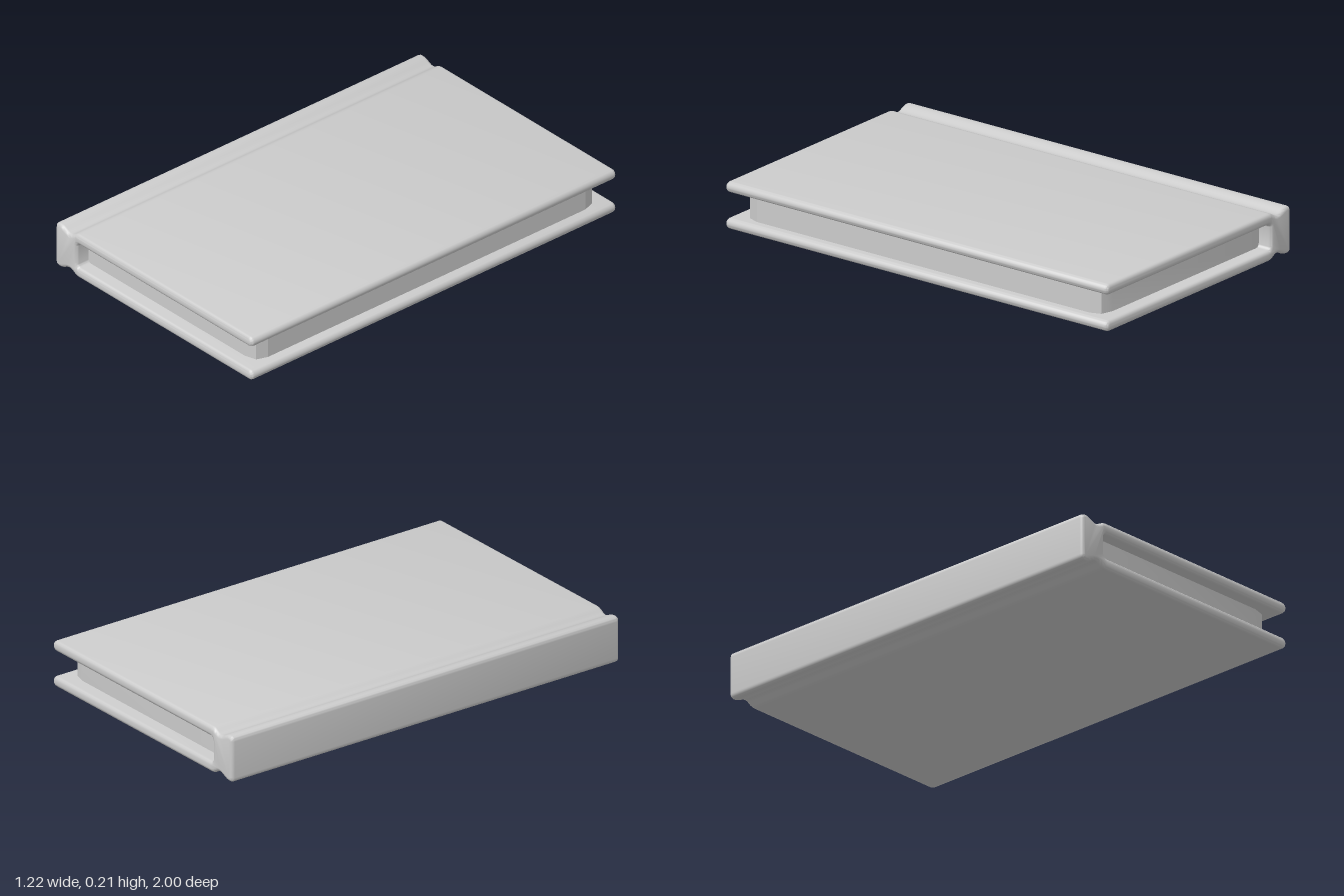
import * as THREE from 'three';
import { toCreasedNormals } from 'three/addons/utils/BufferGeometryUtils.js';

const HEIGHT = 0.207;
const BEVEL = 0.016;

// Wraparound cover: one cross-section with thick spine, hinge grooves and two boards
function coverShape() {
  const mid = HEIGHT / 2;
  // Lower half of the profile, from the spine's middle round to the inside of the spine
  const lower = (add) => {
    const s = new THREE.Path();
    s.moveTo(-0.613, mid);
    s.lineTo(-0.613, 0.022);
    s.quadraticCurveTo(-0.613, 0, -0.59, 0);
    s.bezierCurveTo(-0.56, 0, -0.55, 0.02, -0.525, 0.02);
    s.bezierCurveTo(-0.505, 0.02, -0.495, 0, -0.47, 0);
    s.lineTo(0.587, 0);
    s.absarc(0.587, 0.0235, 0.0235, -Math.PI / 2, Math.PI / 2, false);
    s.lineTo(-0.46, 0.047);
    s.quadraticCurveTo(-0.48, 0.047, -0.48, 0.067);
    return s.getPoints(6);
  };
  const half = lower();
  const mirrored = half.slice(1).reverse().map((p) => new THREE.Vector2(p.x, HEIGHT - p.y));
  return new THREE.Shape([...half, ...mirrored]);
}

// Page block outline seen from above, with softened fore-edge corners
function pagesShape() {
  const corner = [[-0.5, 0.935], [0.49, 0.935], [0.545, 0.92], [0.563, 0.87]];
  const front = corner.map(([x, z]) => new THREE.Vector2(x, z));
  const back = corner.slice().reverse().map(([x, z]) => new THREE.Vector2(x, -z));
  return new THREE.Shape([...front, ...back]);
}

export function createModel() {
  const book = new THREE.Group();
  book.name = 'book';
  const material = new THREE.MeshStandardMaterial({ color: 0xcccccc });

  const add = (name, geometry, crease) => {
    const mesh = new THREE.Mesh(toCreasedNormals(geometry, crease), material);
    mesh.name = name;
    book.add(mesh);
  };

  // Cover, run along z with rounded ends
  const cover = new THREE.ExtrudeGeometry(coverShape(), {
    depth: 2 - 2 * BEVEL,
    bevelThickness: BEVEL,
    bevelSize: BEVEL,
    bevelOffset: -BEVEL,
    bevelSegments: 3,
  });
  cover.translate(0, 0, -1 + BEVEL);
  add('cover', cover, 0.6);

  // Pages, held between the boards
  const pages = new THREE.ExtrudeGeometry(pagesShape(), {
    depth: HEIGHT - 0.088,
    bevelEnabled: false,
  });
  pages.rotateX(-Math.PI / 2).translate(0, 0.044, 0);
  add('pages', pages, 0.3);

  return book;
}
